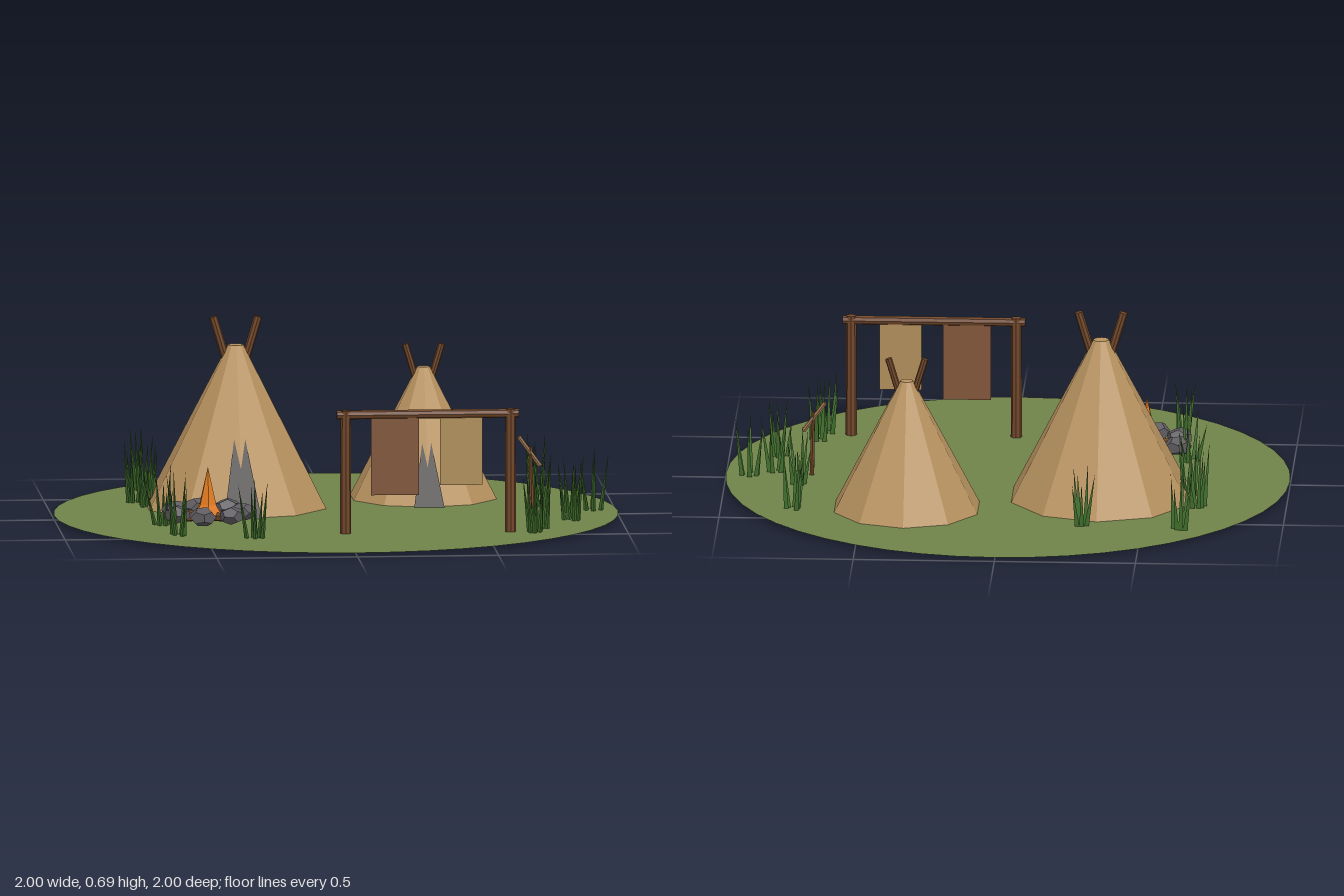
import * as THREE from 'three';

const mat = (name, color) => {
  const m = new THREE.MeshStandardMaterial({ color, flatShading: true });
  m.name = name;
  return m;
};

export function createModel() {
  const root = new THREE.Group();
  root.name = 'camp';
  const M = {
    ground: mat('meadowGreen', 0x70834a),
    grass: mat('grassGreen', 0x3f6d2b),
    canvas: mat('tentTan', 0xb8925f),
    wood: mat('woodBrown', 0x71472a),
    hide: mat('darkHide', 0x80553a),
    paleHide: mat('paleHide', 0xae8c5a),
    dark: mat('doorDark', 0x2a2020),
    stone: mat('stoneGrey', 0x605d62),
    flame: mat('flameOrange', 0xe0791f),
    stick: mat('stickTan', 0x9c7350),
  };
  M.ground.side = M.dark.side = THREE.DoubleSide;

  const add = (parent, name, geo, material, x = 0, y = 0, z = 0) => {
    const m = new THREE.Mesh(geo, material);
    m.name = name;
    m.position.set(x, y, z);
    parent.add(m);
    return m;
  };
  // Round bar or cone between two points
  const UP = new THREE.Vector3(0, 1, 0);
  const bar = (parent, name, a, b, r0, r1, material, sides = 8) => {
    const p = new THREE.Vector3(...a), q = new THREE.Vector3(...b);
    const d = q.clone().sub(p), len = d.length();
    const m = add(parent, name, new THREE.CylinderGeometry(r1, r0, len, sides), material);
    m.position.copy(p).add(q).multiplyScalar(0.5);
    m.quaternion.setFromUnitVectors(UP, d.normalize());
    return m;
  };
  let seed = 7;
  const rand = () => (seed = (seed * 16807) % 2147483647) / 2147483647;

  // Ground disc
  const ground = add(root, 'ground', new THREE.CircleGeometry(1, 48), M.ground, 0, 0.014, 0);
  ground.rotation.x = -Math.PI / 2;

  // Tents: ten-sided cone, leaning door flap and two crossing poles
  const tent = (name, x, z, s) => {
    const g = new THREE.Group();
    g.name = name;
    g.position.set(x, 0.01, z);
    g.scale.setScalar(s);
    root.add(g);
    add(g, 'tentCover', new THREE.CylinderGeometry(0.028, 0.332, 0.58, 10), M.canvas, 0, 0.29, 0);
    const door = new THREE.BufferGeometry();
    door.setAttribute('position', new THREE.Float32BufferAttribute(
      [-0.067, 0, 0.343, 0.067, 0, 0.343, 0, 0.38, 0.119], 3));
    door.computeVertexNormals();
    add(g, 'doorOpening', door, M.dark);
    for (const side of [-1, 1]) {
      bar(g, 'tentPole', [side * 0.02, 0.48, 0], [side * 0.08, 0.68, 0], 0.015, 0.015, M.wood);
    }
  };
  tent('largeTent', -0.34, -0.21, 1);
  tent('smallTent', 0.34, -0.385, 0.81);

  // Drying rack with two hides
  const rack = new THREE.Group();
  rack.name = 'dryingRack';
  root.add(rack);
  for (const x of [-0.005, 0.58]) {
    bar(rack, 'rackPost', [x, 0.01, 0.507], [x, 0.453, 0.507], 0.02, 0.018, M.wood);
  }
  bar(rack, 'rackBeam', [-0.037, 0.437, 0.507], [0.61, 0.437, 0.507], 0.016, 0.016, M.wood);
  add(rack, 'darkHide', new THREE.BoxGeometry(0.17, 0.275, 0.012), M.hide, 0.17, 0.287, 0.507);
  add(rack, 'paleHide', new THREE.BoxGeometry(0.15, 0.24, 0.012), M.paleHide, 0.405, 0.303, 0.507);

  // Campfire: ring of stones, logs and flame
  const fire = new THREE.Group();
  fire.name = 'campfire';
  fire.position.set(-0.478, 0, 0.302);
  root.add(fire);
  for (let i = 0; i < 7; i++) {
    const a = (i / 7) * Math.PI * 2;
    const rock = add(fire, 'stone', new THREE.DodecahedronGeometry(0.045 + rand() * 0.007, 0),
      M.stone, Math.cos(a) * 0.125, 0.066, Math.sin(a) * 0.125);
    rock.rotation.y = rand() * 6;
    rock.scale.y = 0.7;
  }
  for (const a of [-0.37, 0.7, 1.75]) {
    const c = Math.cos(a) * 0.09, s = Math.sin(a) * 0.09;
    bar(fire, 'log', [-c, 0.052, -s], [c, 0.052, s], 0.016, 0.016, M.wood, 6);
  }
  add(fire, 'flameBase', new THREE.ConeGeometry(0.058, 0.1, 6), M.flame, 0, 0.1, 0);
  add(fire, 'flame', new THREE.ConeGeometry(0.044, 0.178, 6), M.flame, 0, 0.138, 0);

  // Walking stick leaning across an upright stake
  bar(root, 'stake', [0.695, 0, 0], [0.69, 0.245, 0], 0.009, 0.007, M.wood, 6);
  bar(root, 'leaningStick', [0.725, 0.175, 0], [0.648, 0.28, 0], 0.008, 0.008, M.stick, 6);

  // Grass tufts of tapering, outward-leaning blades
  const tufts = [[-0.64, -0.61], [-0.29, -0.58], [-0.69, -0.33], [-0.65, -0.22], [-0.63, 0.24],
    [-0.6, 0.51], [-0.33, 0.6], [0.74, -0.42], [0.73, -0.11], [0.83, 0.03], [0.91, -0.01],
    [0.82, 0.23], [0.7, 0.43], [0.67, 0.53]];
  for (const [x, z] of tufts) {
    const tuft = new THREE.Group();
    tuft.name = 'grassTuft';
    tuft.position.set(x, 0.008, z);
    root.add(tuft);
    for (let i = 0; i < 6; i++) {
      const a = i * 1.05 + rand(), r = 0.01 + rand() * 0.022, h = 0.12 + rand() * 0.12;
      const c = Math.cos(a), s = Math.sin(a), lean = r + 0.01 + rand() * 0.025;
      bar(tuft, 'grassBlade', [c * r, 0, s * r], [c * lean, h, s * lean], 0.01, 0, M.grass, 3);
    }
  }
  return root;
}
